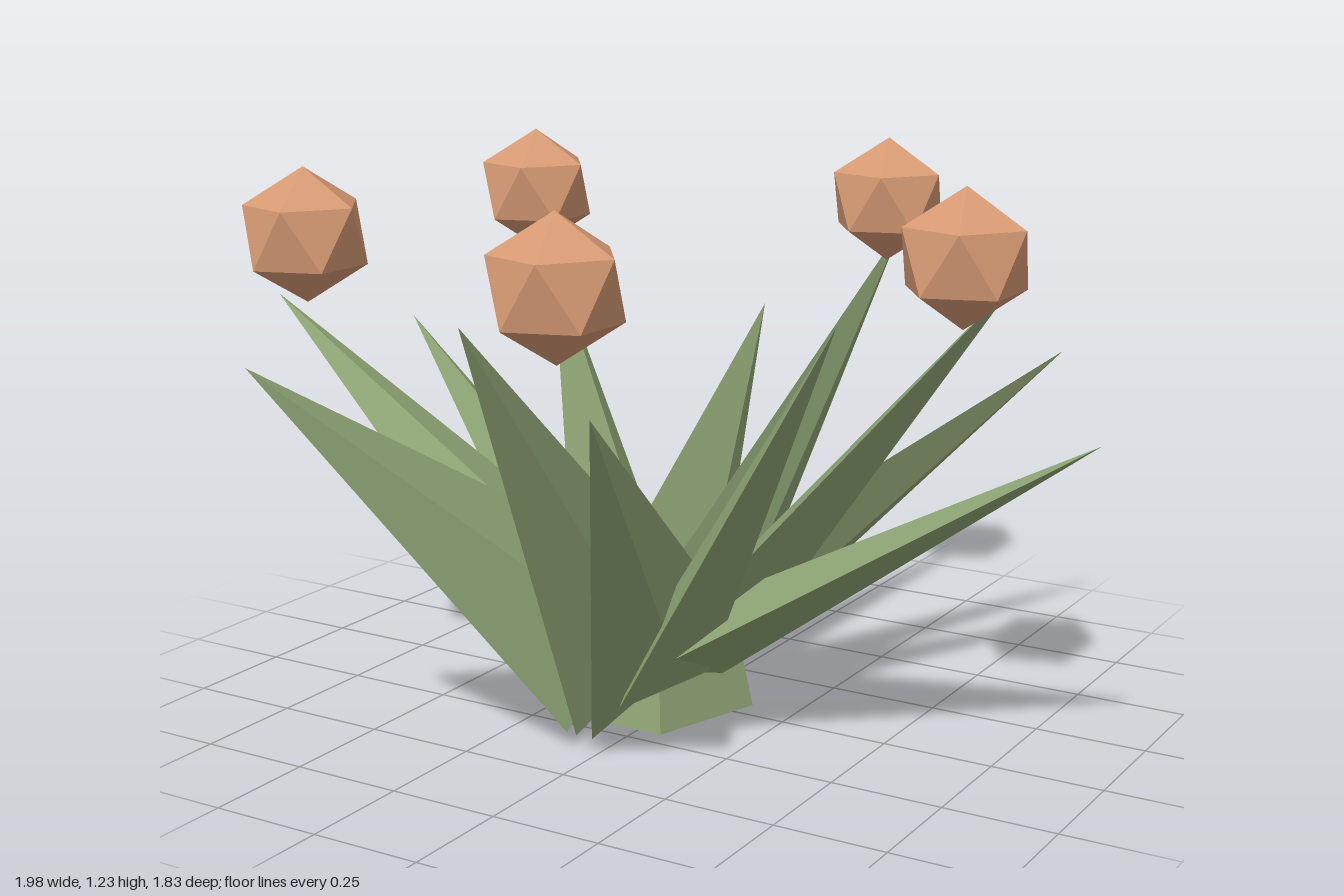
import * as THREE from 'three';

const CX = -0.04, CZ = 0.08; // axis of the plant

export function createModel() {
  const plant = new THREE.Group();
  plant.name = 'succulentPlant';

  const leafGreen = new THREE.MeshStandardMaterial({ color: 0x8fa575 });
  leafGreen.name = 'leafGreen';
  const budOrange = new THREE.MeshStandardMaterial({ color: 0xd69a73 });
  budOrange.name = 'budOrange';

  const add = (name, geometry, material) => {
    const flat = geometry.index ? geometry.toNonIndexed() : geometry;
    flat.computeVertexNormals(); // faceted look
    const mesh = new THREE.Mesh(flat, material);
    mesh.name = name;
    plant.add(mesh);
    return mesh;
  };

  // Five-sided tapered core, one corner pointing backwards
  const core = new THREE.CylinderGeometry(0.17, 0.23, 0.29, 5);
  core.rotateY(Math.PI);
  add('core', core, leafGreen).position.set(CX, 0.175, CZ);

  // Twelve spiky leaves in a golden-angle spiral, cycling through three tilts
  const up = new THREE.Vector3(0, 1, 0);
  const length = 1.05;
  for (let i = 0; i < 12; i++) {
    const turn = THREE.MathUtils.degToRad(137.5 * i);
    const tilt = THREE.MathUtils.degToRad(32 + 10 * (i % 3));
    const c = Math.cos(turn), s = -Math.sin(turn);
    const direction = new THREE.Vector3(c * Math.cos(tilt), Math.sin(tilt), s * Math.cos(tilt));

    const blade = new THREE.ConeGeometry(0.23, length, 4);
    blade.translate(0, length / 2, 0);
    blade.scale(0.35, 1, 1);
    const leaf = add('leaf' + (i + 1), blade, leafGreen);
    leaf.quaternion.setFromUnitVectors(up, direction);
    leaf.position.set(CX + 0.14 * c, 0.19, CZ + 0.14 * s);
  }

  // Five faceted buds in a ring, each standing on a corner
  for (let i = 0; i < 5; i++) {
    const a = (i / 5) * Math.PI * 2;
    const ball = new THREE.IcosahedronGeometry(0.144, 0);
    ball.rotateZ(-Math.atan2(1, (1 + Math.sqrt(5)) / 2));
    add('bud' + (i + 1), ball, budOrange)
      .position.set(CX + 0.73 * Math.cos(a), 1.09, CZ + 0.73 * Math.sin(a));
  }

  return plant;
}
